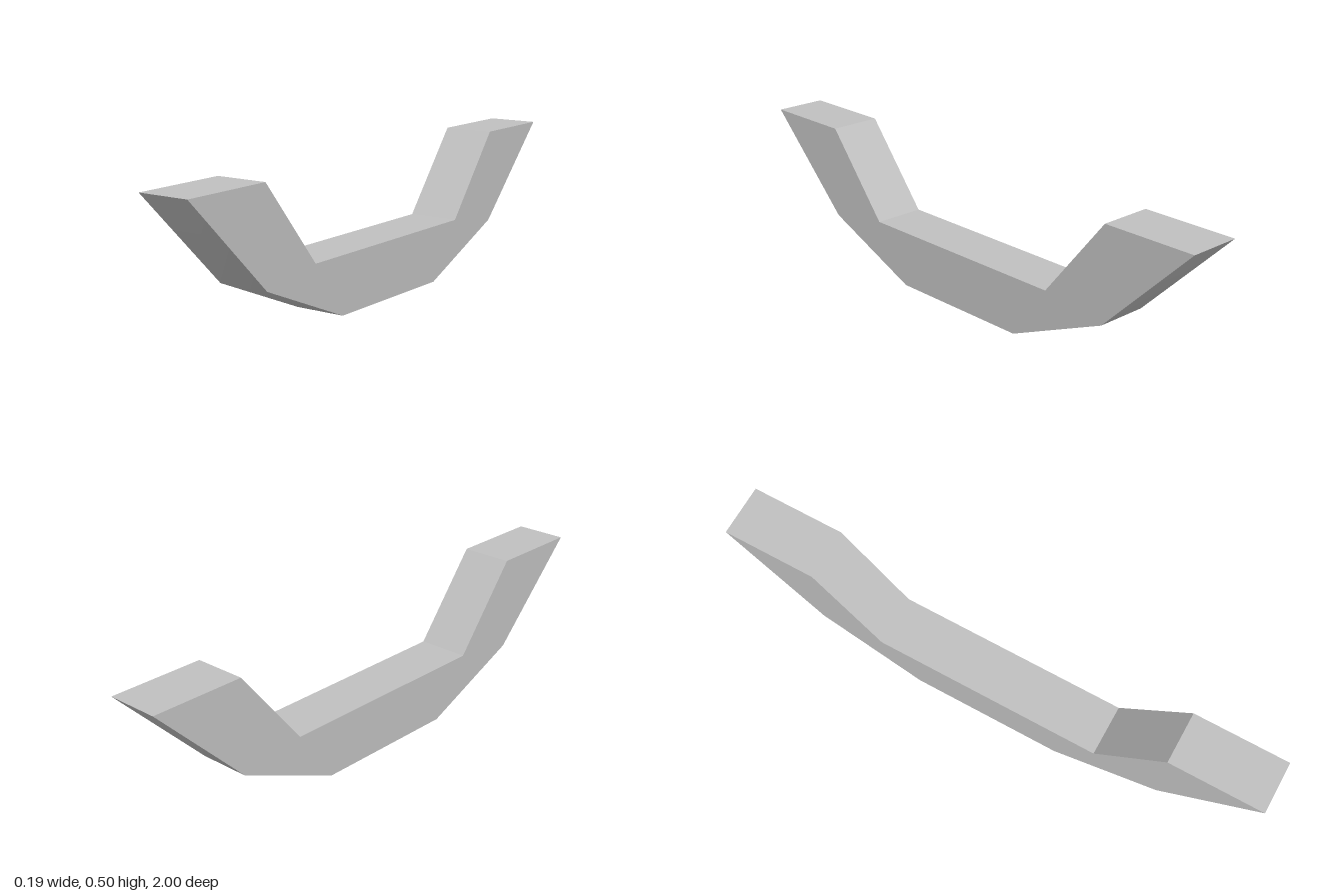
import * as THREE from 'three';
import { toCreasedNormals } from 'three/addons/utils/BufferGeometryUtils.js';

export function createModel() {
  const group = new THREE.Group();
  group.name = 'cradleBracket';
  const grey = new THREE.MeshStandardMaterial({ color: 0xc0c0c0 });
  grey.name = 'light grey';

  // Half of the side profile, from the underside out to the arm and back in
  const half = [[0.275, 0], [0.66, 0.163], [1, 0.5], [0.66, 0.5], [0.418, 0.203]];
  const mirrored = half.map(([z, y]) => [-z, y]).reverse();
  const outline = [...half, ...mirrored].map(([z, y]) => new THREE.Vector2(z, y));

  // Extrude across the width; the faceted underside is shaded smooth
  const width = 0.187;
  const body = new THREE.ExtrudeGeometry(new THREE.Shape(outline), { depth: width, bevelEnabled: false });
  body.translate(0, 0, -width / 2);
  body.rotateY(-Math.PI / 2);
  const mesh = new THREE.Mesh(toCreasedNormals(body, THREE.MathUtils.degToRad(35)), grey);
  mesh.name = 'cradleBody';
  group.add(mesh);
  return group;
}
